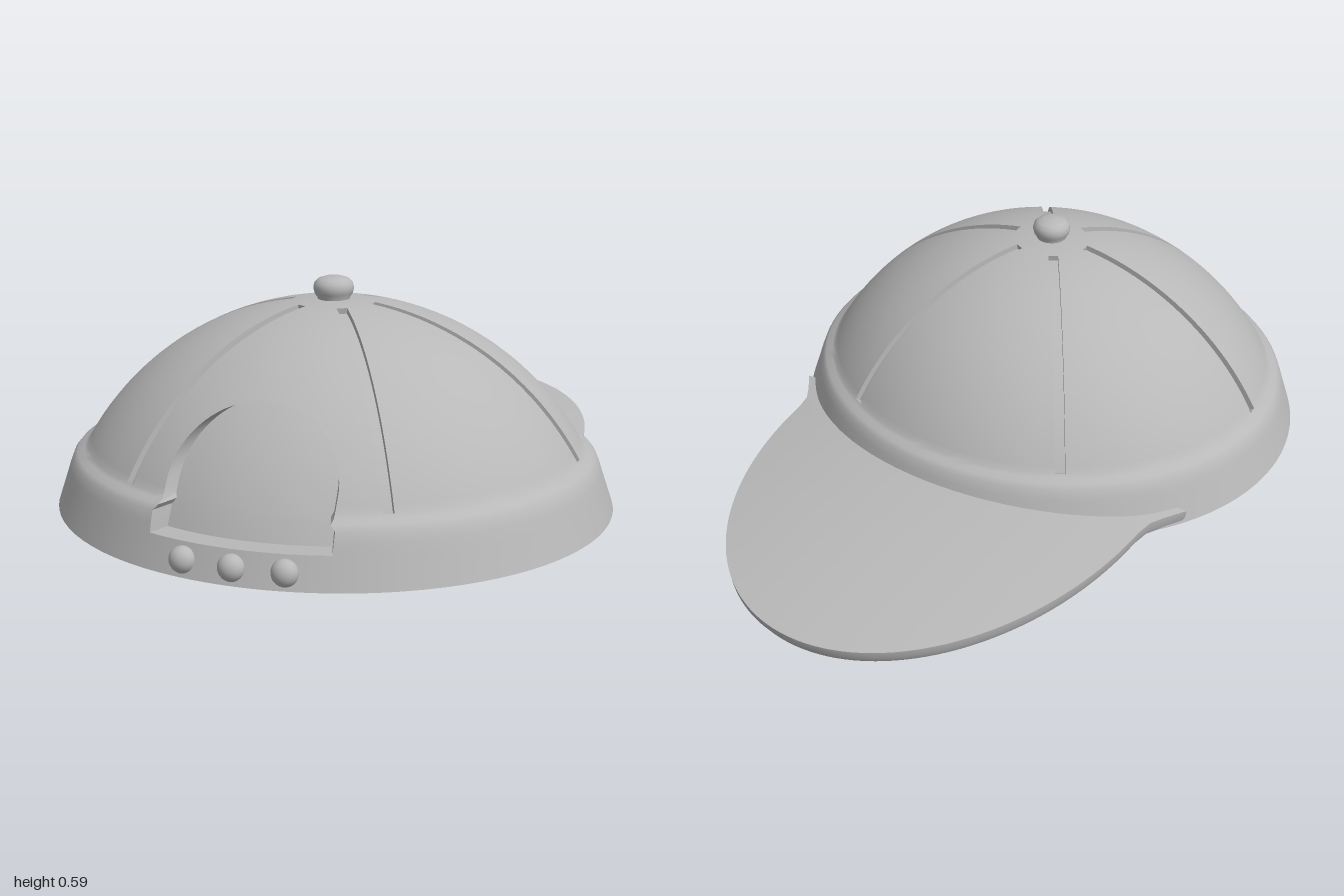
import * as THREE from 'three';
import { toCreasedNormals } from 'three/addons/utils/BufferGeometryUtils.js';

const CZ = 0.295, SZ = 0.93;         // crown centre and its front-to-back squash
const R = 0.758, CY = -0.223;        // dome sphere radius and centre height
const domeR = (y) => Math.sqrt(R * R - (y - CY) ** 2);
const lerp = THREE.MathUtils.lerp;

// Skin a list of equally long rows of [x, y, z] points
function skin(rows, crease) {
  const n = rows[0].length, index = [];
  for (let i = 0; i < rows.length - 1; i++) {
    for (let j = 0; j < n - 1; j++) {
      const a = i * n + j, b = a + n;
      index.push(a, b, a + 1, a + 1, b, b + 1);
    }
  }
  const g = new THREE.BufferGeometry();
  g.setAttribute('position', new THREE.Float32BufferAttribute(rows.flat(2), 3));
  g.setIndex(index);
  return toCreasedNormals(g, crease);
}

// Half width of the arched recess at height y
function archWidth(y) {
  if (y <= 0.14) return 0.228;
  if (y <= 0.19) return 0.215;
  const k = (y - 0.19) / 0.18;
  return k >= 1 ? 0.02 : Math.max(0.02, 0.215 * Math.sqrt(1 - k * k));
}

// One ring of the crown, with seam grooves and the arched recess cut in
function crownRow({ r, y, groove, recess }) {
  const row = [];
  const put = (a, kind) => {
    let pr = r, py = y;
    if (kind === 'groove' && groove) {
      const f = 1 - 0.015 / R;
      pr = r * f;
      py = CY + (y - CY) * f;
    }
    if (kind === 'recess' && recess) pr = domeR(y) - 0.045;
    row.push([pr * Math.cos(a), py, CZ + SZ * pr * Math.sin(a)]);
  };
  const fill = (a, b, n, kind) => {
    for (let i = 1; i <= n; i++) put(lerp(a, b, i / (n + 1)), kind);
  };
  const h = 0.014 / Math.max(r, 0.1), step = Math.PI / 3;
  for (let k = 0; k < 6; k++) {
    const c = k * step, a = c + h, b = c + step - h;
    put(c - h); put(c - h, 'groove'); put(c + h, 'groove'); put(a);
    if (k === 1) {
      const s = Math.asin(Math.min(0.4, archWidth(y) / r));
      const l = Math.PI / 2 - s, m = Math.PI / 2 + s;
      fill(a, l, 4);
      put(l); put(l, 'recess');
      fill(l, m, 12, 'recess');
      put(m, 'recess'); put(m);
      fill(m, b, 4);
    } else fill(a, b, 14);
  }
  row.push(row[0]);
  return row;
}

function crownGeometry() {
  const rings = [];
  const add = (r, y, groove, recess) => rings.push({ r, y, groove, recess });
  // rolled band at the bottom
  add(0.738, 0); add(0.728, 0.03); add(0.711, 0.08);
  add(0.711, 0.08, false, true);
  for (const [r, y] of [[0.703, 0.105], [0.693, 0.13], [0.682, 0.143], [0.664, 0.15]]) add(r, y, false, true);
  // dome
  add(domeR(0.158), 0.158, false, true);
  for (const y of [0.158, 0.175]) add(domeR(y), y, true, true);
  for (let i = 0; i <= 18; i++) {
    const y = 0.19 + 0.18 * Math.sin((i / 18) * Math.PI / 2);
    add(domeR(y), y, true, true);
  }
  const t0 = Math.asin(domeR(0.37) / R), t1 = Math.asin(0.11 / R);
  for (let i = 0; i <= 12; i++) {
    const t = lerp(t0, t1, i / 12);
    add(R * Math.sin(t), CY + R * Math.cos(t), true);
  }
  for (const r of [0.11, 0.07, 0.01]) add(r, CY + Math.sqrt(R * R - r * r));
  return skin(rings.map(crownRow), 0.6);
}

function brimGeometry() {
  // outline: flared root, half ellipse, flared root
  const flare = [[0.63, -0.07], [0.592, -0.125], [0.568, -0.165]];
  const outline = flare.map(([x, z]) => [-x, z]);
  for (let i = 0; i <= 72; i++) {
    const a = Math.PI + lerp(0.08, Math.PI - 0.08, i / 72);
    outline.push([0.56 * Math.cos(a), -0.15 + 0.85 * Math.sin(a)]);
  }
  outline.push(...flare.reverse());
  const loop = (t, y) => outline.map(([x, z]) => [x * t, y, -0.15 + (z + 0.15) * t]);
  const rows = [loop(0, 0), loop(0.98, 0), loop(0.996, 0.022)];
  for (let i = 20; i >= 0; i--) {
    const t = i / 20;
    rows.push(loop(t, 0.043 + 0.046 * (1 - t * t)));
  }
  return skin(rows, 0.6);
}

export function createModel() {
  const model = new THREE.Group();
  const grey = new THREE.MeshStandardMaterial({ color: 0xb8b8b8 });
  grey.name = 'cap grey';
  const add = (name, geometry, x = 0, y = 0, z = 0) => {
    const mesh = new THREE.Mesh(geometry, grey);
    mesh.name = name;
    mesh.position.set(x, y, z);
    model.add(mesh);
    return mesh;
  };
  const lathe = (pts, n) => new THREE.LatheGeometry(pts.map(([x, y]) => new THREE.Vector2(x, y)), n);

  add('crown', crownGeometry());
  add('brim', brimGeometry());

  // flat underside with a central socket
  const base = new THREE.RingGeometry(0.085, 0.738, 96).rotateX(Math.PI / 2);
  add('underside', base, 0, 0, CZ).scale.z = SZ;
  const socket = toCreasedNormals(lathe([[0, 0.42], [0.085, 0.4], [0.085, 0]], 40), 0.6);
  add('socket', socket, 0, 0, CZ).scale.z = SZ;

  // top button
  add('button', lathe([[0.042, 0.52], [0.042, 0.536], [0.05, 0.548], [0.053, 0.562], [0.05, 0.575],
    [0.04, 0.585], [0.022, 0.591], [0, 0.592]], 40), 0, 0, CZ);

  // snap studs below the arch
  for (const x of [-0.127, 0, 0.127]) {
    const z = CZ + SZ * Math.sqrt(0.725 ** 2 - x * x);
    const stud = add('snapStud', new THREE.SphereGeometry(0.033, 24, 16), x, 0.04, z);
    stud.scale.z = 0.85;
  }
  return model;
}
